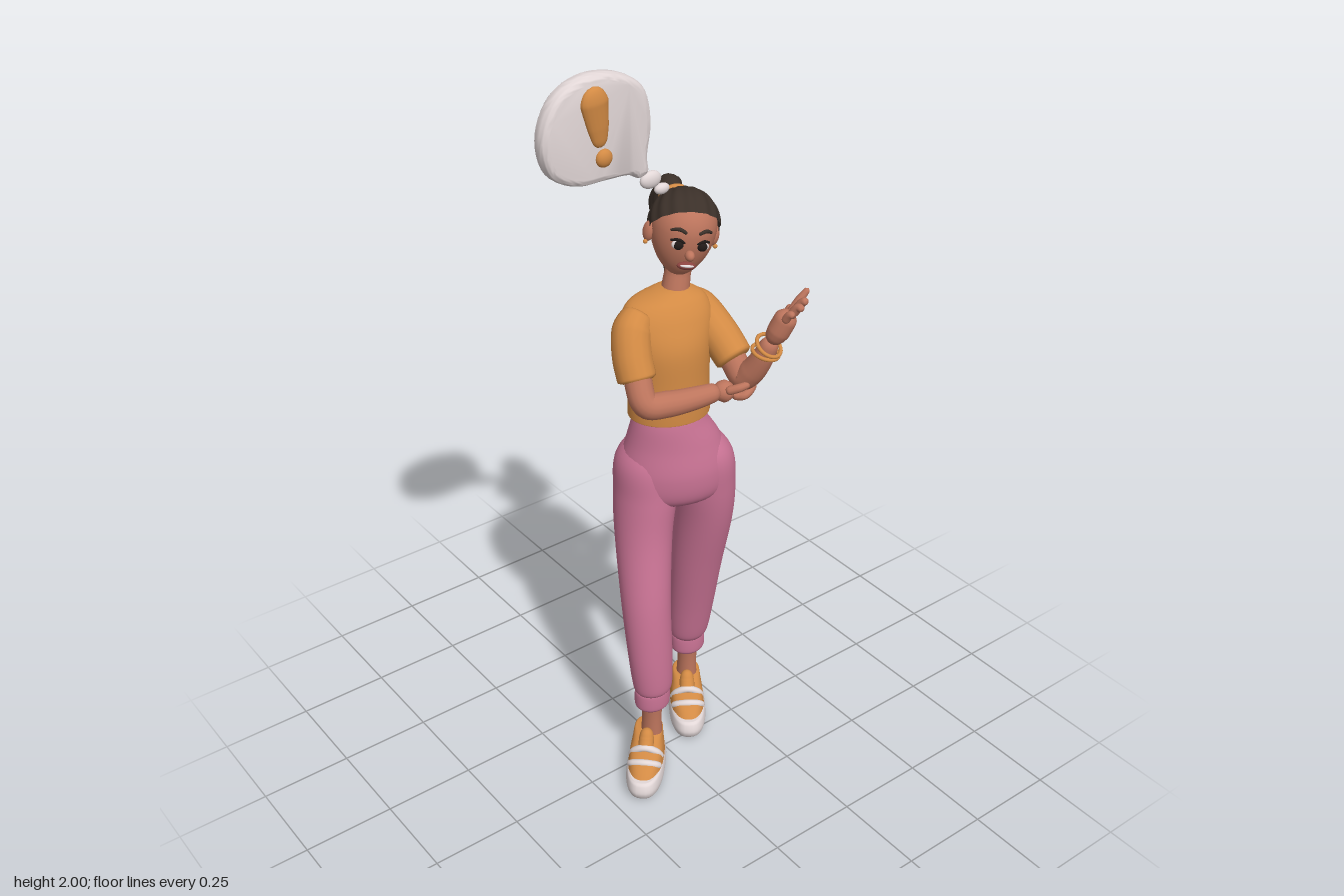
import * as THREE from 'three';
import { mergeVertices, toCreasedNormals } from 'three/addons/utils/BufferGeometryUtils.js';

const material = (name, color) => Object.assign(new THREE.MeshStandardMaterial({ color }), { name });
const V = (p) => new THREE.Vector3(p[0], p[1], p[2]);

// Joins seams so the normals are smooth all over
function weld(geo) {
  geo.deleteAttribute('uv');
  geo.deleteAttribute('normal');
  const g = mergeVertices(geo, 1e-5);
  g.computeVertexNormals();
  return g;
}

// Moves every vertex of a geometry by a rule
function reshape(geo, rule) {
  const pos = geo.attributes.position, v = new THREE.Vector3();
  for (let i = 0; i < pos.count; i++) {
    v.fromBufferAttribute(pos, i);
    rule(v);
    pos.setXYZ(i, v.x, v.y, v.z);
  }
  return weld(geo);
}

// Level elliptical sections from top to bottom: [x, y, z, halfWidth, halfDepth]
function loft(sections, yaw = 0, power = 1) {
  const centre = new THREE.CatmullRomCurve3(sections.map(V), false, 'catmullrom');
  const size = new THREE.CatmullRomCurve3(sections.map((s) => new THREE.Vector3(s[3], 0, s[4])), false, 'catmullrom');
  const bulge = (n) => Math.sign(n) * Math.abs(n) ** power;
  return reshape(new THREE.CylinderGeometry(1, 1, 1, 36, sections.length * 7), (v) => {
    const t = THREE.MathUtils.clamp(0.5 - v.y, 0, 1), c = centre.getPoint(t), s = size.getPoint(t);
    const x = bulge(v.x) * s.x, z = bulge(v.z) * s.z;
    v.set(c.x + x * Math.cos(yaw) + z * Math.sin(yaw), c.y, c.z - x * Math.sin(yaw) + z * Math.cos(yaw));
  });
}

// Round limb through points [x, y, z, radius]; cap sets how domed the ends are
function sweep(points, cap = 1, rings = 36, sides = 16) {
  const curve = new THREE.CatmullRomCurve3(points.map(V));
  const geo = new THREE.TubeGeometry(curve, rings, 1, sides);
  const pos = geo.attributes.position, length = curve.getLength(), v = new THREE.Vector3();
  for (let i = 0; i < pos.count; i++) {
    const u = Math.floor(i / (sides + 1)) / rings;
    const f = curve.getUtoTmapping(u) * (points.length - 1), k = Math.min(Math.floor(f), points.length - 2);
    let r = THREE.MathUtils.lerp(points[k][3], points[k + 1][3], f - k);
    const e = Math.min(1, (Math.min(u, 1 - u) * length) / (r * cap));
    r *= Math.max(0.01, Math.sqrt(1 - (1 - e) ** 2));
    const c = curve.getPointAt(u);
    v.fromBufferAttribute(pos, i).sub(c).multiplyScalar(r).add(c);
    pos.setXYZ(i, v.x, v.y, v.z);
  }
  return weld(geo);
}

export function createModel() {
  const skin = material('skin', 0xbd755d), orange = material('orange cloth', 0xd28a44);
  const pink = material('pink cloth', 0xc97394), white = material('off white', 0xe2d7d7);
  const hair = material('dark brown hair', 0x3b3029), dark = material('eye black', 0x211a18);
  const lip = material('lip', 0x8c4440);
  const model = new THREE.Group();
  const add = (name, geo, mat, parent = model) => {
    const m = new THREE.Mesh(geo, mat);
    m.name = name;
    parent.add(m);
    return m;
  };
  const group = (name, parent = model) => {
    const g = new THREE.Group();
    g.name = name;
    parent.add(g);
    return g;
  };
  const ball = (name, mat, parent, p, s) => {
    const m = add(name, new THREE.SphereGeometry(1, 24, 16), mat, parent);
    m.position.set(...p);
    m.scale.set(...s);
    return m;
  };

  // Trousers
  const trousers = group('trousers');
  add('hips', loft([[0.05, 1.1, -0.045, 0.085, 0.07], [0.052, 1.06, -0.045, 0.098, 0.08], [0.064, 1.0, -0.046, 0.123, 0.094],
    [0.07, 0.92, -0.048, 0.147, 0.11], [0.07, 0.85, -0.048, 0.142, 0.1], [0.07, 0.815, -0.048, 0.09, 0.06], [0.07, 0.805, -0.048, 0.01, 0.01]], -0.4), pink, trousers);
  add('rightLeg', loft([[0.02, 1.03, -0.07, 0.03, 0.04], [0.0, 0.95, -0.075, 0.075, 0.085], [-0.008, 0.85, -0.07, 0.08, 0.092],
    [-0.028, 0.73, -0.052, 0.074, 0.082], [-0.056, 0.55, -0.005, 0.067, 0.066], [-0.062, 0.4, 0.02, 0.063, 0.056],
    [-0.061, 0.29, 0.03, 0.056, 0.05], [-0.061, 0.262, 0.03, 0.045, 0.04]]), pink, trousers);
  add('leftLeg', loft([[0.12, 1.03, -0.03, 0.03, 0.04], [0.14, 0.95, -0.022, 0.075, 0.085], [0.151, 0.85, -0.024, 0.08, 0.09],
    [0.16, 0.73, -0.035, 0.075, 0.085], [0.163, 0.55, -0.065, 0.071, 0.07], [0.168, 0.4, -0.09, 0.066, 0.06],
    [0.17, 0.29, -0.105, 0.058, 0.051], [0.17, 0.262, -0.107, 0.046, 0.041]]), pink, trousers);

  // Cuffs, ankles and shoes
  for (const [side, ax, az, fx, fz, yaw] of [['right', -0.061, 0.028, -0.103, 0.055, -0.76], ['left', 0.17, -0.11, 0.14, -0.072, -0.6]]) {
    add(side + 'Cuff', loft([[ax, 0.272, az, 0.044, 0.04], [ax, 0.26, az, 0.05, 0.044], [ax, 0.222, az, 0.05, 0.044], [ax, 0.21, az, 0.043, 0.038]]), pink);
    add(side + 'Ankle', loft([[ax, 0.25, az, 0.03, 0.032], [ax, 0.17, az - 0.002, 0.026, 0.029], [ax, 0.06, az - 0.005, 0.03, 0.034]]), skin);
    const shoe = group(side + 'Shoe');
    shoe.position.set(fx, 0, fz);
    shoe.rotation.y = yaw;
    add('sole', loft([[0, 0.058, -0.004, 0.044, 0.115], [0, 0.05, -0.002, 0.05, 0.122], [0, 0.028, 0, 0.053, 0.126],
      [0, 0.008, -0.002, 0.05, 0.12], [0, 0, -0.004, 0.043, 0.11]], 0, 0.8), white, shoe);
    add('upper', loft([[0, 0.118, -0.062, 0.026, 0.03], [0, 0.115, -0.06, 0.038, 0.044], [0, 0.095, -0.042, 0.042, 0.07],
      [0, 0.075, -0.018, 0.046, 0.097], [0, 0.045, -0.003, 0.05, 0.118]], 0, 0.85), orange, shoe);
    add('tongue', sweep([[0, 0.085, 0.02, 0.022], [0, 0.115, -0.008, 0.021], [0, 0.143, -0.02, 0.015]]), orange, shoe);
    [0.014, 0.05].forEach((z, i) => add('strap', sweep([[-0.045, 0.06, z - 0.012, 0.008], [-0.03, 0.088 - i * 0.014, z, 0.01],
      [0, 0.104 - i * 0.022, z + 0.006, 0.01], [0.03, 0.088 - i * 0.014, z, 0.01], [0.045, 0.06, z - 0.012, 0.008]]), white, shoe));
    add('heelTab', sweep([[0, 0.07, -0.108, 0.015], [0, 0.125, -0.104, 0.012]]), orange, shoe);
  }

  // Shirt with sleeves
  const shirt = group('shirt');
  add('shirtBody', loft([[0.085, 1.412, -0.075, 0.03, 0.03], [0.08, 1.405, -0.075, 0.055, 0.043], [0.062, 1.385, -0.07, 0.1, 0.058],
    [0.054, 1.345, -0.06, 0.118, 0.072], [0.05, 1.28, -0.05, 0.112, 0.086], [0.05, 1.19, -0.045, 0.104, 0.086],
    [0.05, 1.095, -0.045, 0.107, 0.088], [0.05, 1.082, -0.045, 0.104, 0.085], [0.05, 1.08, -0.045, 0.085, 0.068]], -0.3), orange, shirt);
  add('rightSleeve', sweep([[-0.015, 1.365, -0.075, 0.04], [-0.05, 1.335, -0.062, 0.05], [-0.07, 1.28, -0.035, 0.05], [-0.076, 1.222, -0.005, 0.049]], 0.25), orange, shirt);
  add('leftSleeve', sweep([[0.12, 1.36, -0.075, 0.042], [0.15, 1.335, -0.055, 0.051], [0.168, 1.28, 0.01, 0.051], [0.176, 1.23, 0.066, 0.048]], 0.25), orange, shirt);

  // Arms
  add('rightArm', sweep([[-0.055, 1.32, -0.05, 0.034], [-0.08, 1.235, 0.0, 0.035], [-0.08, 1.18, 0.035, 0.034], [-0.03, 1.172, 0.052, 0.034],
    [0.05, 1.17, 0.068, 0.029], [0.115, 1.172, 0.078, 0.023]], 1, 60), skin);
  add('leftArm', sweep([[0.155, 1.32, -0.03, 0.034], [0.172, 1.24, 0.05, 0.035], [0.18, 1.195, 0.09, 0.033], [0.188, 1.22, 0.115, 0.033],
    [0.198, 1.27, 0.143, 0.028], [0.207, 1.325, 0.163, 0.021]], 1, 60), skin);

  // Right hand holding the left elbow
  const rightHand = group('rightHand');
  add('palm', sweep([[0.1, 1.172, 0.075, 0.023], [0.13, 1.165, 0.078, 0.029], [0.155, 1.155, 0.078, 0.024]]), skin, rightHand);
  for (let i = 0; i < 4; i++) {
    const z = 0.1 - i * 0.02;
    add('finger', sweep([[0.14, 1.16, z, 0.012], [0.178, 1.146, z, 0.0115], [0.206, 1.158, z - 0.004, 0.01], [0.212, 1.178, z - 0.006, 0.008]], 1, 20, 10), skin, rightHand);
  }
  add('thumb', sweep([[0.12, 1.175, 0.095, 0.012], [0.145, 1.187, 0.118, 0.011], [0.17, 1.195, 0.128, 0.009]], 1, 20, 10), skin, rightHand);

  // Raised left hand
  const leftHand = group('leftHand');
  add('palm', sweep([[0.205, 1.315, 0.16, 0.021], [0.214, 1.35, 0.177, 0.029], [0.228, 1.39, 0.19, 0.029], [0.234, 1.405, 0.195, 0.024]]), skin, leftHand);
  const fingers = [
    [[0.24, 1.39, 0.185, 0.012], [0.262, 1.425, 0.193, 0.011], [0.284, 1.453, 0.2, 0.007]],
    [[0.235, 1.395, 0.2, 0.012], [0.25, 1.43, 0.215, 0.011], [0.252, 1.442, 0.232, 0.009]],
    [[0.222, 1.395, 0.205, 0.012], [0.232, 1.425, 0.222, 0.011], [0.233, 1.428, 0.24, 0.009]],
    [[0.21, 1.385, 0.2, 0.011], [0.213, 1.41, 0.217, 0.01], [0.214, 1.412, 0.23, 0.008]],
    [[0.225, 1.35, 0.165, 0.013], [0.25, 1.378, 0.162, 0.011], [0.262, 1.402, 0.166, 0.008]]];
  fingers.forEach((p, i) => add(i < 4 ? 'finger' : 'thumb', sweep(p, 1, 20, 10), skin, leftHand));
  const along = new THREE.Vector3(0.01, 0.055, 0.022).normalize();
  [[0.201, 1.283, 0.147], [0.204, 1.303, 0.155]].forEach((p, i) => {
    const bangle = add('bangle', new THREE.TorusGeometry(0.034, 0.005, 10, 32), orange);
    bangle.position.set(...p);
    bangle.quaternion.setFromUnitVectors(new THREE.Vector3(0, 0, 1), along);
    bangle.rotateX(i ? 0.2 : -0.15);
  });

  // Neck and head
  add('neck', sweep([[0.118, 1.51, -0.08, 0.034], [0.1, 1.44, -0.076, 0.033], [0.085, 1.37, -0.072, 0.038]]), skin);
  const head = group('head');
  head.position.set(0.118, 1.565, -0.075);
  head.rotation.set(0, -0.42, -0.18, 'YXZ');
  add('face', reshape(new THREE.SphereGeometry(1, 36, 28), (v) => {
    const low = Math.max(0, -v.y) ** 2;
    v.set(v.x * 0.081 * (1 - 0.15 * low), v.y * (v.y < 0 ? 0.122 : 0.086), v.z * 0.086 * (1 - 0.2 * low) + 0.018 * low);
  }), skin, head);
  ball('nose', skin, head, [0, -0.042, 0.09], [0.012, 0.013, 0.016]);
  ball('lips', lip, head, [0, -0.073, 0.079], [0.024, 0.01, 0.01]);
  ball('teeth', white, head, [0, -0.071, 0.084], [0.018, 0.0045, 0.0065]);
  for (const s of [-1, 1]) {
    ball('eyeWhite', white, head, [s * 0.031, -0.02, 0.078], [0.016, 0.012, 0.008]);
    ball('iris', dark, head, [s * 0.03, -0.02, 0.081], [0.0125, 0.012, 0.008]);
    add('eyelash', sweep([[s * 0.014, -0.014, 0.085, 0.002], [s * 0.03, -0.006, 0.083, 0.004], [s * 0.05, -0.012, 0.07, 0.003]], 1, 16, 8), dark, head);
    add('eyebrow', sweep([[s * 0.014, 0.012, 0.085, 0.004], [s * 0.033, 0.019, 0.078, 0.005], [s * 0.053, 0.011, 0.065, 0.003]], 1, 16, 8), hair, head);
    ball('ear', skin, head, [s * 0.084, -0.025, -0.005], [0.012, 0.026, 0.017]).rotation.y = s * -0.4;
    ball('earring', orange, head, [s * 0.089, -0.05, 0.002], [0.006, 0.006, 0.006]);
  }

  // Combed hair with ridges running to the tie
  const cap = add('hairCap', reshape(new THREE.SphereGeometry(1, 120, 24, 0, Math.PI * 2, 0, 1.68), (v) => {
    const a = Math.atan2(v.z, v.x), out = 1 + 0.018 * Math.cos(a * 15) * Math.sqrt(Math.max(0, 1 - v.y * v.y));
    v.multiplyScalar(out).applyAxisAngle(new THREE.Vector3(1, 0, 0), -0.85);
    v.set(v.x * 0.088, v.y * 0.092, v.z * 0.094);
  }), hair, head);
  cap.material.side = THREE.DoubleSide;

  // Ponytail
  const tail = group('ponytail');
  add('tailCore', sweep([[0.145, 1.6, -0.14, 0.024], [0.153, 1.622, -0.178, 0.03], [0.165, 1.585, -0.202, 0.034], [0.176, 1.5, -0.204, 0.032], [0.176, 1.41, -0.192, 0.016], [0.174, 1.375, -0.188, 0.006]], 1, 48), hair, tail);
  for (let i = 0; i < 9; i++) {
    const a = (i / 9) * Math.PI * 2, c = Math.cos(a), s = Math.sin(a), drop = 0.03 * ((i * 5) % 4) / 3;
    add('lock', sweep([[0.146 + c * 0.012, 1.6 + s * 0.012, -0.145, 0.011], [0.152 + c * 0.024, 1.62 + s * 0.014, -0.18 + s * 0.006, 0.014],
      [0.163 + c * 0.034, 1.582, -0.202 + s * 0.022, 0.015], [0.174 + c * 0.03, 1.49, -0.203 + s * 0.021, 0.014],
      [0.176 + c * 0.022, 1.42, -0.194 + s * 0.015, 0.01], [0.175 + c * 0.02, 1.355 + drop, -0.188 + s * 0.012, 0.003]], 1, 36, 10), hair, tail);
  }
  const tie = add('hairTie', new THREE.TorusGeometry(0.027, 0.01, 12, 32), orange, tail);
  tie.position.set(0.147, 1.608, -0.158);
  tie.quaternion.setFromUnitVectors(new THREE.Vector3(0, 0, 1), new THREE.Vector3(0.2, 0.55, -0.8).normalize());

  // Thought bubble
  const bubble = group('thoughtBubble');
  const outline = new THREE.CatmullRomCurve3([[-0.05, 1.738, 0], [-0.022, 1.724, 0], [0.003, 1.735, 0], [0.001, 1.775, 0], [0.012, 1.86, 0],
    [-0.01, 1.945, 0], [-0.08, 1.99, 0], [-0.175, 2.0, 0], [-0.25, 1.965, 0], [-0.29, 1.88, 0], [-0.27, 1.79, 0], [-0.2, 1.748, 0], [-0.12, 1.743, 0]].map(V), true);
  const shape = new THREE.Shape(outline.getPoints(70).slice(0, -1).map((p) => new THREE.Vector2(p.x, p.y)));
  const cloud = new THREE.ExtrudeGeometry(shape, { depth: 0.012, bevelThickness: 0.018, bevelSize: 0.018, bevelOffset: -0.018, bevelSegments: 7, steps: 1 });
  add('cloud', toCreasedNormals(cloud, 0.7), white, bubble).position.z = -0.084;
  ball('largeDot', white, bubble, [0.02, 1.706, -0.078], [0.03, 0.022, 0.014]);
  ball('smallDot', white, bubble, [0.053, 1.675, -0.078], [0.021, 0.014, 0.012]);
  const stroke = add('exclamationStroke', sweep([[-0.155, 1.978, 0, 0.03], [-0.153, 1.94, 0, 0.037], [-0.144, 1.88, 0, 0.028], [-0.138, 1.832, 0, 0.016]]), orange, bubble);
  stroke.scale.z = 0.5;
  stroke.position.z = -0.053;
  ball('exclamationDot', orange, bubble, [-0.13, 1.805, -0.053], [0.022, 0.022, 0.014]);

  return model;
}
